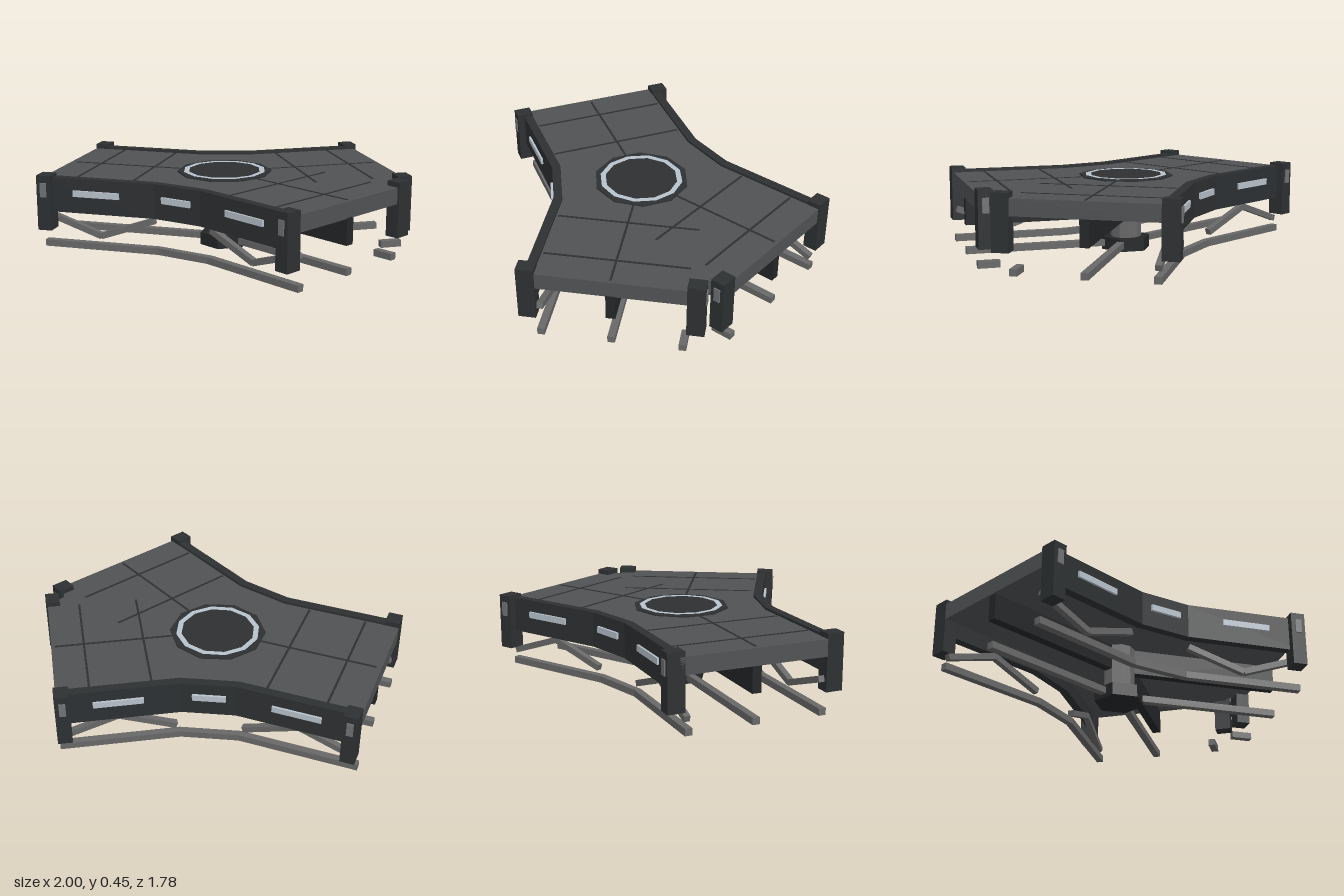
import * as THREE from 'three';

const CX = -0.06, END = 0.93, KNEE = 0.27;
const mat = (color) => new THREE.MeshStandardMaterial({ color, flatShading: true, roughness: 0.8 });
const M = {
  deck: mat(0x505254), wall: mat(0x2d3032), girder: mat(0x242628),
  steel: mat(0x686868), light: mat(0xb8c2cc), panel: mat(0x707274),
};

export function createModel() {
  const root = new THREE.Group();
  root.name = 'threeWayPlatform';

  const add = (parent, name, geo, m, x = 0, y = 0, z = 0) => {
    const mesh = new THREE.Mesh(geo, m);
    mesh.name = name;
    mesh.position.set(x, y, z);
    parent.add(mesh);
    return mesh;
  };
  // Box given by its min/max corners
  const box = (parent, name, m, x0, x1, y0, y1, z0, z1) =>
    add(parent, name, new THREE.BoxGeometry(x1 - x0, y1 - y0, z1 - z0), m,
      (x0 + x1) / 2, (y0 + y1) / 2, (z0 + z1) / 2);
  // Horizontal outline [x, z] raised from y0 to y1
  const slab = (name, pts, y0, y1, m) => {
    const shape = new THREE.Shape(pts.map(([x, z]) => new THREE.Vector2(x, -z)));
    const geo = new THREE.ExtrudeGeometry(shape, { depth: y1 - y0, bevelEnabled: false });
    geo.rotateX(-Math.PI / 2);
    return add(root, name, geo, m, 0, y0, 0);
  };
  // Square strut between two points
  const strut = (parent, name, a, b, w, m) => {
    const d = new THREE.Vector3().subVectors(b, a);
    const mesh = add(parent, name, new THREE.BoxGeometry(d.length(), w, w), m);
    mesh.position.copy(a).add(b).multiplyScalar(0.5);
    mesh.quaternion.setFromUnitVectors(new THREE.Vector3(1, 0, 0), d.normalize());
  };

  // Points along one flank: back arm end, two knees, branching arm end
  const c30 = Math.cos(Math.PI / 6);
  const branch = (t, o) => [CX + t * c30 - o * 0.5, t * 0.5 + o * c30];
  const flank = (o) => [[CX - END - 0.01, o], [CX - KNEE, o], branch(KNEE, o), branch(END, o)];
  const mirror = (pts, s) => pts.map(([x, z]) => [x, z * s]);

  // Deck
  const half = [...flank(0.42), branch(END, -0.42), [0.9, 0]];
  slab('deck', [...half, ...mirror(half.slice(0, -1), -1).reverse()], 0.33, 0.422, M.deck);

  // Side walls, lower edge rails and the light on each middle wall section
  for (const s of [1, -1]) {
    const strip = (a, b) => mirror([...flank(b), ...flank(a).reverse()], s);
    slab('sideWall', strip(0.395, 0.445), 0.24, 0.435, M.wall);
    slab('lowerEdgeRail', strip(0.355, 0.395), 0.02, 0.058, M.steel);
    const midLight = add(root, 'wallLight', new THREE.BoxGeometry(0.18, 0.035, 0.02),
      M.light, -0.192, 0.352, s * 0.486);
    midLight.rotation.y = -s * Math.PI / 12;
  }

  // Arms: local +x runs outward; braces maps an outer side to 1 (V) or -1 (inverted V)
  const arms = [
    { name: 'backArm', angle: Math.PI, braces: { '-1': 1, '1': -1 } },
    { name: 'rightArm', angle: Math.PI / 6, braces: { '-1': -1 } },
    { name: 'leftArm', angle: -Math.PI / 6, braces: { '1': 1 } },
  ];
  for (const { name, angle, braces } of arms) {
    const arm = new THREE.Group();
    arm.name = name;
    arm.position.x = CX;
    arm.rotation.y = angle;
    root.add(arm);

    box(arm, 'girder', M.girder, 0.05, END, 0.185, 0.335, -0.025, 0.025);
    box(arm, 'lowerCentreRail', M.steel, 0.05, END, 0.02, 0.058, -0.02, 0.02);

    // Deck seams
    box(arm, 'deckSeam', M.wall, 0.25, 0.91, 0.415, 0.4245, -0.006, 0.006);
    for (const t of [0.42, 0.75])
      box(arm, 'deckSeam', M.wall, t - 0.006, t + 0.006, 0.415, 0.4245, -0.385, 0.385);

    for (const s of [-1, 1]) {
      // Corner post with its outer panel
      add(arm, 'cornerPost', new THREE.BoxGeometry(0.08, 0.31, 0.094), M.wall, 0.9, 0.295, s * 0.44);
      add(arm, 'postPanel', new THREE.BoxGeometry(0.036, 0.08, 0.01), M.panel, 0.9, 0.37, s * 0.489);

      const v = braces[s];
      if (!v) {
        // Short rail stub where the two branching arms meet
        box(arm, 'railStub', M.steel, 0.81, END, 0.02, 0.058, s * 0.375 - 0.02, s * 0.375 + 0.02);
        continue;
      }
      add(arm, 'wallLight', new THREE.BoxGeometry(0.27, 0.035, 0.02), M.light, 0.605, 0.352, s * 0.447);
      // Diagonal braces
      const high = 0.21, low = 0.1;
      const p = [0.29, 0.605, 0.92].map((t, i) =>
        new THREE.Vector3(t, (i === 1) === (v > 0) ? low : high, s * 0.375));
      strut(arm, 'brace', p[0], p[1], 0.034, M.steel);
      strut(arm, 'brace', p[1], p[2], 0.034, M.steel);
    }
  }

  // Central pad with light ring
  add(root, 'centrePad', new THREE.CylinderGeometry(0.268, 0.268, 0.02, 10), M.wall, CX, 0.419, 0);
  const ring = new THREE.RingGeometry(0.205, 0.235, 12);
  ring.rotateX(-Math.PI / 2);
  add(root, 'lightRing', ring, M.light, CX, 0.432, 0);

  // Central column and foot
  add(root, 'column', new THREE.CylinderGeometry(0.088, 0.088, 0.28, 10), M.steel, CX, 0.2, 0);
  add(root, 'foot', new THREE.CylinderGeometry(0.142, 0.142, 0.072, 6), M.girder, CX, 0.036, 0);

  return root;
}
